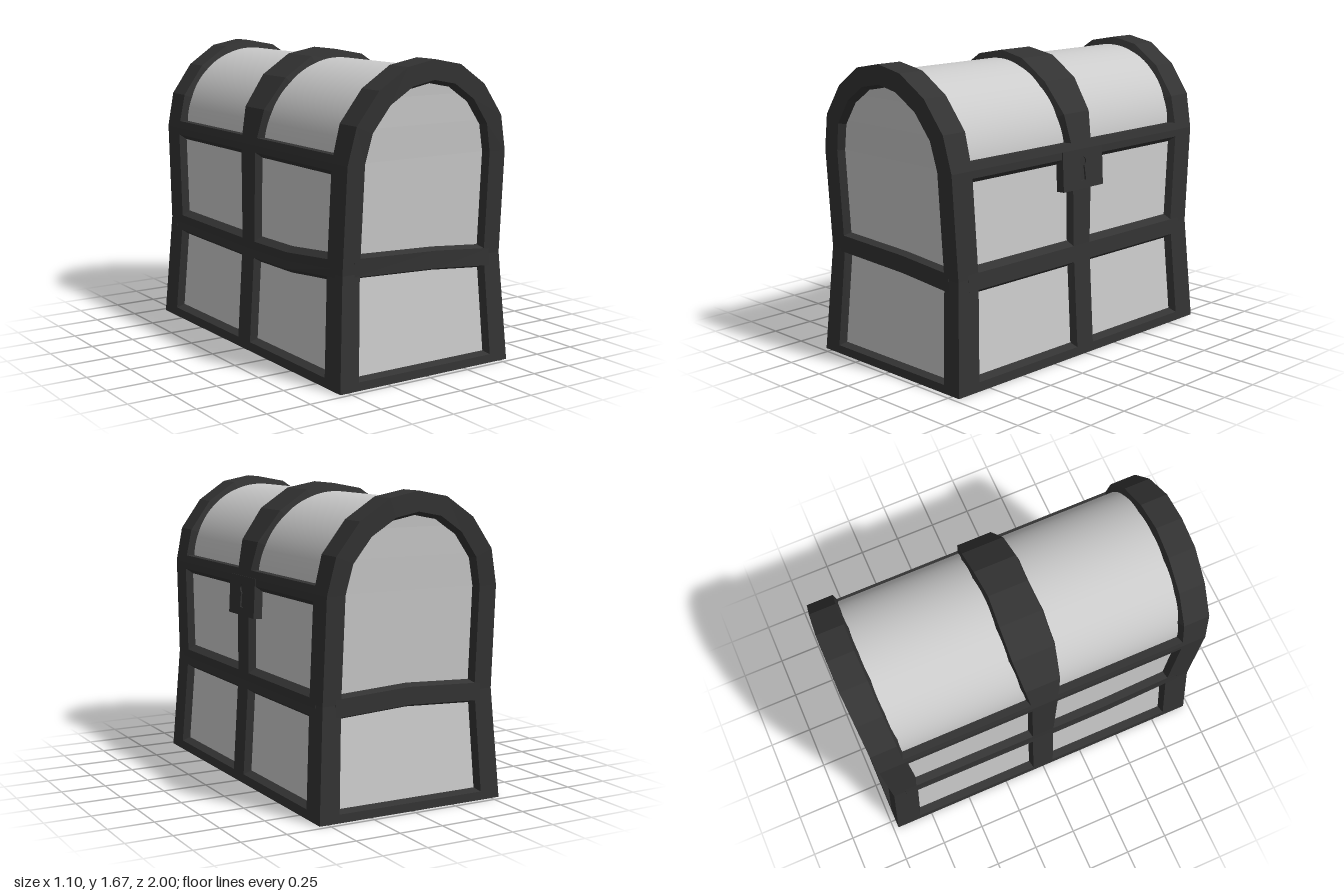
import * as THREE from 'three';

const dark = new THREE.MeshStandardMaterial({ color: 0x333333, flatShading: true });
const pale = new THREE.MeshStandardMaterial({ color: 0xcccccc, flatShading: true });
const paleSmooth = new THREE.MeshStandardMaterial({ color: 0xcccccc });

// Half outline of the chest, floor to crown: [x, y, end z]
const OUTLINE = [
  [0.55, 0, 0.97], [0.512, 0.6, 0.93], [0.507, 1.16, 0.965], [0.463, 1.355, 0.98],
  [0.336, 1.525, 0.99], [0.168, 1.635, 1], [0, 1.667, 1],
];
const SPRING = 1.16; // height where the arch starts
const POST_EDGE = [0.825, 0.79, 0.825, 0.83, 0.84, 0.845, 0.85];
const STRAP_HALF = [0.065, 0.065, 0.075, 0.1, 0.12, 0.12, 0.11];

// Outline point i moved inwards by d
function inset(i, d) {
  const [x, y] = OUTLINE[i], k = 1 - d / 0.507;
  return [x * k, y > SPRING ? SPRING + (y - SPRING) * k : y];
}

// Outline x (axis 0) or end z (axis 2) at height y
function outlineAt(y, axis) {
  let i = 0;
  while (i < OUTLINE.length - 2 && OUTLINE[i + 1][1] < y) i++;
  const a = OUTLINE[i], b = OUTLINE[i + 1];
  return THREE.MathUtils.lerp(a[axis], b[axis], (y - a[1]) / (b[1] - a[1]));
}

// Solid skinned through equal-sized rings of points, turned outwards by signed volume
function loft(name, rings, material) {
  const tris = [], n = rings[0].length, last = rings[rings.length - 1];
  for (let r = 0; r < rings.length - 1; r++) {
    for (let j = 0; j < n; j++) {
      const a = rings[r][j], b = rings[r][(j + 1) % n];
      const c = rings[r + 1][(j + 1) % n], d = rings[r + 1][j];
      tris.push([a, b, c], [a, c, d]);
    }
  }
  for (let j = 1; j < n - 1; j++) {
    tris.push([rings[0][0], rings[0][j + 1], rings[0][j]], [last[0], last[j], last[j + 1]]);
  }
  const v = (p) => new THREE.Vector3(...p);
  const volume = tris.reduce((s, [a, b, c]) => s + v(a).dot(v(b).cross(v(c))), 0);
  const points = tris.flatMap(([a, b, c]) => (volume < 0 ? [a, c, b] : [a, b, c])).map(v);
  const geometry = new THREE.BufferGeometry().setFromPoints(points);
  geometry.computeVertexNormals();
  const mesh = new THREE.Mesh(geometry, material);
  mesh.name = name;
  return mesh;
}

// Ring list that climbs one side of the arch and comes down the other
function overArch(section) {
  const rings = [];
  for (let k = 0; k <= 12; k++) {
    const side = k <= 6 ? 1 : -1;
    rings.push(section(k <= 6 ? k : 12 - k).map(([x, y, z]) => [x * side, y, z]));
  }
  return rings;
}

const rect = (x, y, z) => [[x, y, z], [-x, y, z], [-x, y, -z], [x, y, -z]];

export function createModel() {
  const group = new THREE.Group();
  const add = (...args) => group.add(loft(...args));

  // Floor and recessed panels
  add('base', [0, 0.03].map((y) => rect(outlineAt(y, 0), y, outlineAt(y, 2))), dark);
  add('panelBody', OUTLINE.map((p, i) => {
    const [x, y] = inset(i, i < 3 ? 0.04 : 0.06);
    return rect(Math.max(x, 0.01), Math.max(y, 0.02), p[2] - 0.04);
  }), pale);

  // Smooth barrel roof
  const roofGeometry = new THREE.CylinderGeometry(0.457, 0.457, 1.8, 48, 1, true, Math.PI / 2, Math.PI);
  const roof = new THREE.Mesh(roofGeometry.rotateX(Math.PI / 2), paleSmooth);
  roof.position.y = SPRING + 0.005;
  roof.name = 'roof';
  group.add(roof);

  // Arched frames wrapping both ends, with bevelled openings
  for (const s of [1, -1]) {
    add(s > 0 ? 'frontFrame' : 'backFrame', overArch((i) => {
      const z = OUTLINE[i][2], f = POST_EDGE[i];
      return [[0, z], [0.105, z], [0.125, z - 0.045], [0.08, z - 0.1], [0.05, f - 0.02], [0, f]]
        .map(([d, pz]) => [...inset(i, d), pz * s]);
    }), dark);
  }

  // Middle strap over the lid
  add('middleStrap', overArch((i) => {
    const w = STRAP_HALF[i], outer = inset(i, 0), inner = inset(i, 0.06);
    return [[...outer, w], [...outer, -w], [...inner, -w - 0.018], [...inner, w + 0.018]];
  }), dark);

  // Rails along the long sides; the middle one on the plain side is warped
  for (const s of [1, -1]) {
    const rail = (name, y0, y1, low, high, bend) => add(name, bend.map(([z, dy]) => {
      const a = y0 + dy, b = y1 + dy, m = (a + b) / 2;
      return [[outlineAt(a, 0), a], [outlineAt(m, 0), m], [outlineAt(b, 0), b], [0.44, b + high], [0.44, a - low]]
        .map(([x, y]) => [x * s, y, z]);
    }), dark);
    const straight = [[-0.86, 0], [0.86, 0]];
    const warped = [[-0.86, 0.005], [0, -0.005], [0.4, 0], [0.86, 0.045]];
    rail('sideBottomRail', 0, 0.05, 0, 0.05, straight);
    rail('sideMiddleRail', 0.535, 0.625, 0.05, 0.05, s > 0 ? straight : warped);
    rail('sideTopRail', 1.12, 1.2, 0.05, 0, straight);
  }

  // Rails across the ends, the middle one slightly bent
  for (const s of [1, -1]) {
    const rail = (name, y0, y1, low, bend) => add(name, bend.map(([x, dy]) => {
      const a = y0 + dy, b = y1 + dy;
      return [[a, outlineAt(a, 2)], [b, outlineAt(b, 2)], [b + 0.02, outlineAt(b, 2) - 0.05], [a - low, outlineAt(a, 2) - 0.05]]
        .map(([y, z]) => [x, y, z * s]);
    }), dark);
    rail('endBottomRail', 0, 0.045, 0, [[-0.44, 0], [0.44, 0]]);
    rail('endMiddleRail', 0.535, 0.63, 0.02,
      s > 0 ? [[-0.44, 0.05], [0.08, 0.03], [0.44, 0]] : [[-0.44, 0.005], [0, 0.025], [0.44, 0]]);
  }

  // Lock plate with a keyhole
  const plate = new THREE.Shape();
  plate.moveTo(-0.16, -0.12).lineTo(0.16, -0.12).lineTo(0.16, 0.1).lineTo(-0.16, 0.1).closePath();
  const keyhole = new THREE.Path();
  keyhole.moveTo(-0.022, -0.075).lineTo(-0.011, 0.008);
  keyhole.absarc(0, 0.03, 0.025, Math.PI * 1.35, -Math.PI * 0.35, true);
  keyhole.lineTo(0.022, -0.075).closePath();
  plate.holes.push(keyhole);
  const lockGeometry = new THREE.ExtrudeGeometry(plate, { depth: 0.05, bevelEnabled: false, curveSegments: 10 });
  const lock = new THREE.Mesh(lockGeometry.rotateY(Math.PI / 2), dark);
  lock.position.set(0.466, 1.06, 0);
  lock.rotation.z = 0.05;
  lock.name = 'lockPlate';
  group.add(lock);

  return group;
}
